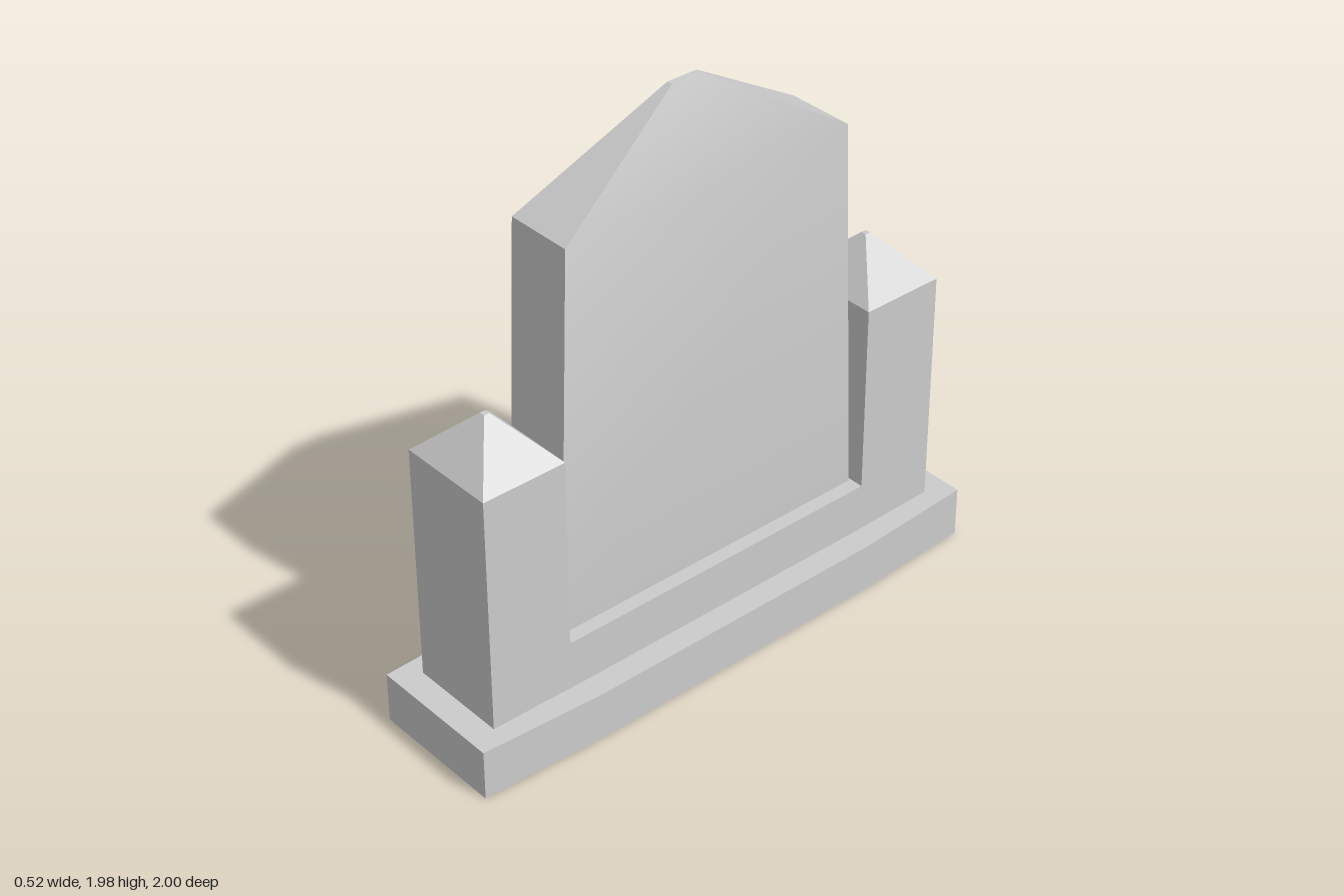
import * as THREE from 'three';
import { toCreasedNormals } from 'three/addons/utils/BufferGeometryUtils.js';

const material = new THREE.MeshStandardMaterial({ color: 0xcccccc, side: THREE.DoubleSide });

// Rectangular ring at height y, centred on z = cz
const rect = (hx, hz, y, cz = 0) => [
  [-hx, y, cz + hz], [hx, y, cz + hz], [hx, y, cz - hz], [-hx, y, cz - hz],
];

// Eight-point ring with its own height at the ends and along the middle
const longRing = (xEnd, zEnd, xMid, zMid, yEnd, yMid) => [
  [-xEnd, yEnd, zEnd], [xEnd, yEnd, zEnd], [xMid, yMid, zMid], [xMid, yMid, -zMid],
  [xEnd, yEnd, -zEnd], [-xEnd, yEnd, -zEnd], [-xMid, yMid, -zMid], [-xMid, yMid, zMid],
];

// Open shell joining rings from bottom to top, optionally closed at the top
function loft(name, rings, capped) {
  const pos = [];
  const tri = (...pts) => pts.forEach((p) => pos.push(...p));
  for (let r = 0; r < rings.length - 1; r++) {
    const low = rings[r], high = rings[r + 1], n = low.length;
    for (let i = 0; i < n; i++) {
      const j = (i + 1) % n;
      tri(low[i], low[j], high[j]);
      tri(low[i], high[j], high[i]);
    }
  }
  if (capped) {
    const top = rings[rings.length - 1];
    for (let i = 1; i < top.length - 1; i++) tri(top[0], top[i], top[i + 1]);
  }
  const geometry = new THREE.BufferGeometry();
  geometry.setAttribute('position', new THREE.Float32BufferAttribute(pos, 3));
  const mesh = new THREE.Mesh(toCreasedNormals(geometry, Math.PI / 6), material);
  mesh.name = name;
  return mesh;
}

export function createModel() {
  const group = new THREE.Group();
  group.name = 'monument';

  // Plinth: hollow, slightly bulging sides, top rim running in to the wall
  group.add(loft('plinth', [
    longRing(0.24, 1, 0.26, 0.57, 0, 0),
    longRing(0.24, 1, 0.26, 0.57, 0.178, 0.172),
    longRing(0.175, 0.91, 0.175, 0.57, 0.178, 0.172),
  ]));

  // Low wall carrying the posts and the slab
  group.add(loft('lowerWall', [rect(0.175, 0.91, 0.172), rect(0.175, 0.91, 0.345)]));
  group.add(loft('ledge', [rect(0.175, 0.61, 0.345), rect(0.125, 0.6, 0.345)]));

  // End posts with blunt pyramid caps
  for (const s of [1, -1]) {
    group.add(loft(s > 0 ? 'frontPost' : 'backPost', [
      rect(0.175, 0.15, 0.345, s * 0.76),
      rect(0.175, 0.15, 1.013, s * 0.76),
      rect(0.01, 0.01, 1.165, s * 0.76),
    ], true));
  }

  // Tall tapering slab with a hipped top
  group.add(loft('slab', [
    rect(0.125, 0.6, 0.345),
    rect(0.119, 0.545, 1.68),
    rect(0.01, 0.055, 1.982),
  ], true));

  return group;
}
